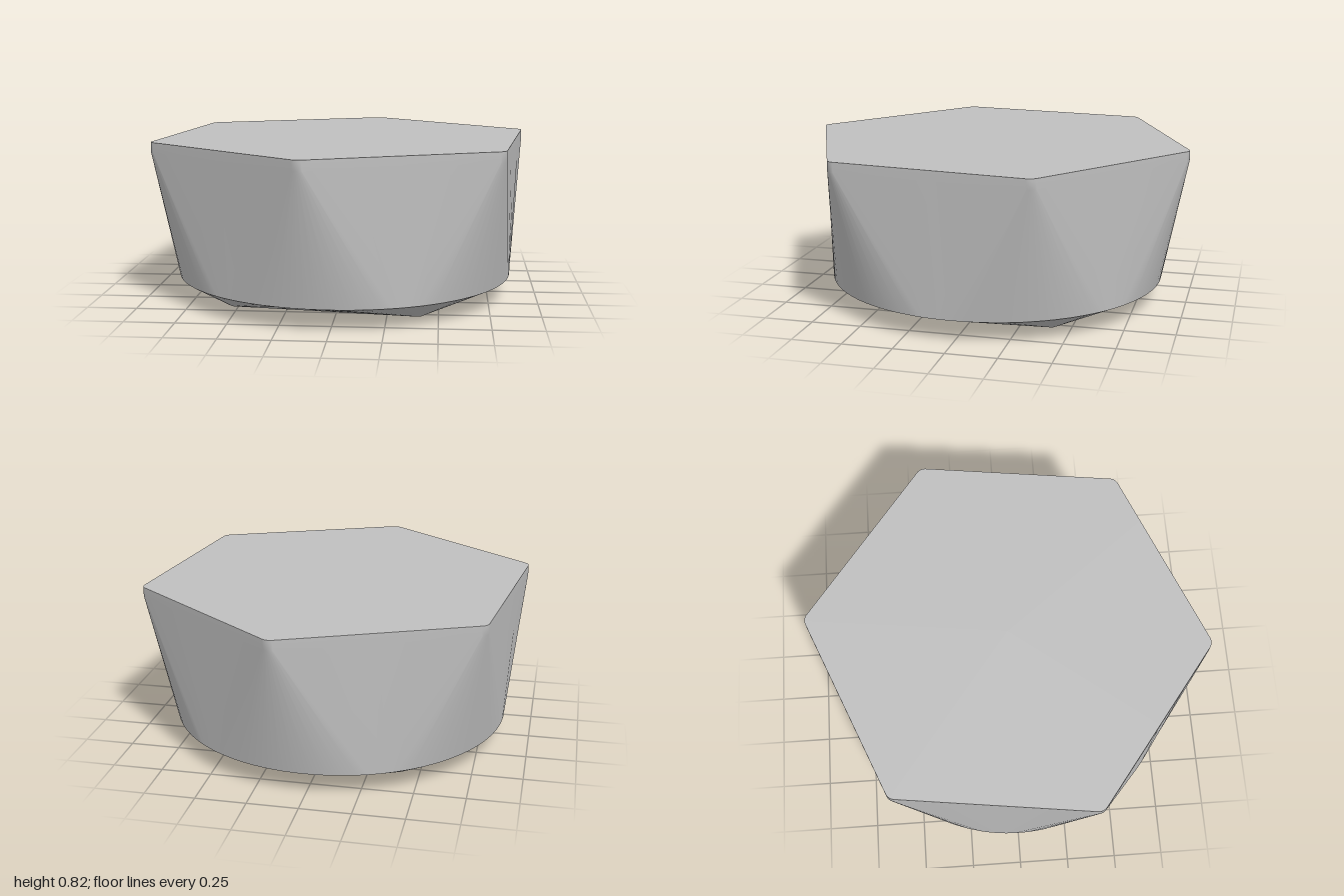
import * as THREE from 'three';

const FAN = 10;       // segments around each rounded corner
const EDGE = 4;       // segments along each straight edge
const RIM_RADIUS = 0.865;
const FAN_SHARE = 0.8; // part of the circle that the corners fan out to

// Ring of [x, y, z] points: a regular polygon with rounded corners.
function polygonRing(sides, radius, fillet, turn, y) {
  const step = (2 * Math.PI) / sides;
  const centre = radius - fillet / Math.cos(step / 2);
  const corner = (k, t) => {
    const mid = turn + k * step;
    const a = mid + (t - 0.5) * step;
    return [centre * Math.cos(mid) + fillet * Math.cos(a), y, centre * Math.sin(mid) + fillet * Math.sin(a)];
  };
  const ring = [];
  for (let k = 0; k < sides; k++) {
    for (let j = 0; j <= FAN; j++) ring.push(corner(k, j / FAN));
    const p = corner(k, 1), q = corner(k + 1, 0);
    for (let e = 1; e < EDGE; e++) ring.push(p.map((v, i) => v + ((q[i] - v) * e) / EDGE));
  }
  return ring;
}

// Circle with points matched one to one to those of polygonRing.
function circleRing(sides, radius, turn, y) {
  const step = (2 * Math.PI) / sides;
  const ring = [];
  const add = (a) => ring.push([radius * Math.cos(a), y, radius * Math.sin(a)]);
  for (let k = 0; k < sides; k++) {
    const mid = turn + k * step;
    for (let j = 0; j <= FAN; j++) add(mid + (j / FAN - 0.5) * step * FAN_SHARE);
    for (let e = 1; e < EDGE; e++) add(mid + step * (FAN_SHARE / 2 + ((1 - FAN_SHARE) * e) / EDGE));
  }
  return ring;
}

function geometryFrom(points, index) {
  const g = new THREE.BufferGeometry();
  g.setAttribute('position', new THREE.Float32BufferAttribute(points.flat(), 3));
  g.setIndex(index);
  g.computeVertexNormals();
  return g;
}

// Skin joining rings listed from top to bottom.
function loft(rings) {
  const n = rings[0].length;
  const index = [];
  for (let r = 0; r < rings.length - 1; r++) {
    for (let i = 0; i < n; i++) {
      const j = (i + 1) % n;
      const up = r * n, low = up + n;
      index.push(low + i, up + i, up + j, low + i, up + j, low + j);
    }
  }
  return geometryFrom(rings.flat(), index);
}

// Flat lid filling one ring.
function cap(ring, facesUp) {
  const n = ring.length;
  const index = [];
  for (let i = 0; i < n; i++) {
    const j = (i + 1) % n;
    index.push(n, facesUp ? j : i, facesUp ? i : j);
  }
  return geometryFrom([...ring, [0, ring[0][1], 0]], index);
}

export function createModel() {
  const grey = new THREE.MeshStandardMaterial({ color: 0xbfbfbf });
  grey.name = 'light grey';
  const model = new THREE.Group();
  model.name = 'loftedBlock';
  const add = (name, geometry) => {
    const mesh = new THREE.Mesh(geometry, grey);
    mesh.name = name;
    model.add(mesh);
  };
  const rad = THREE.MathUtils.degToRad;

  // Hexagonal top with a short upright lip, blending down to a round rim
  const top = polygonRing(6, 1.016, 0.05, rad(37.5), 0.82);
  const lip = top.map(([x, , z]) => [x, 0.77, z]);
  add('topFace', cap(top, true));
  add('sideWall', loft([top, lip, circleRing(6, RIM_RADIUS, rad(37.5), 0.11)]));

  // Round rim tapering to a square foot
  const foot = polygonRing(4, 0.685, 0.02, rad(52.5), 0);
  add('underside', loft([circleRing(4, RIM_RADIUS, rad(52.5), 0.11), foot]));
  add('footFace', cap(foot, false));

  return model;
}
